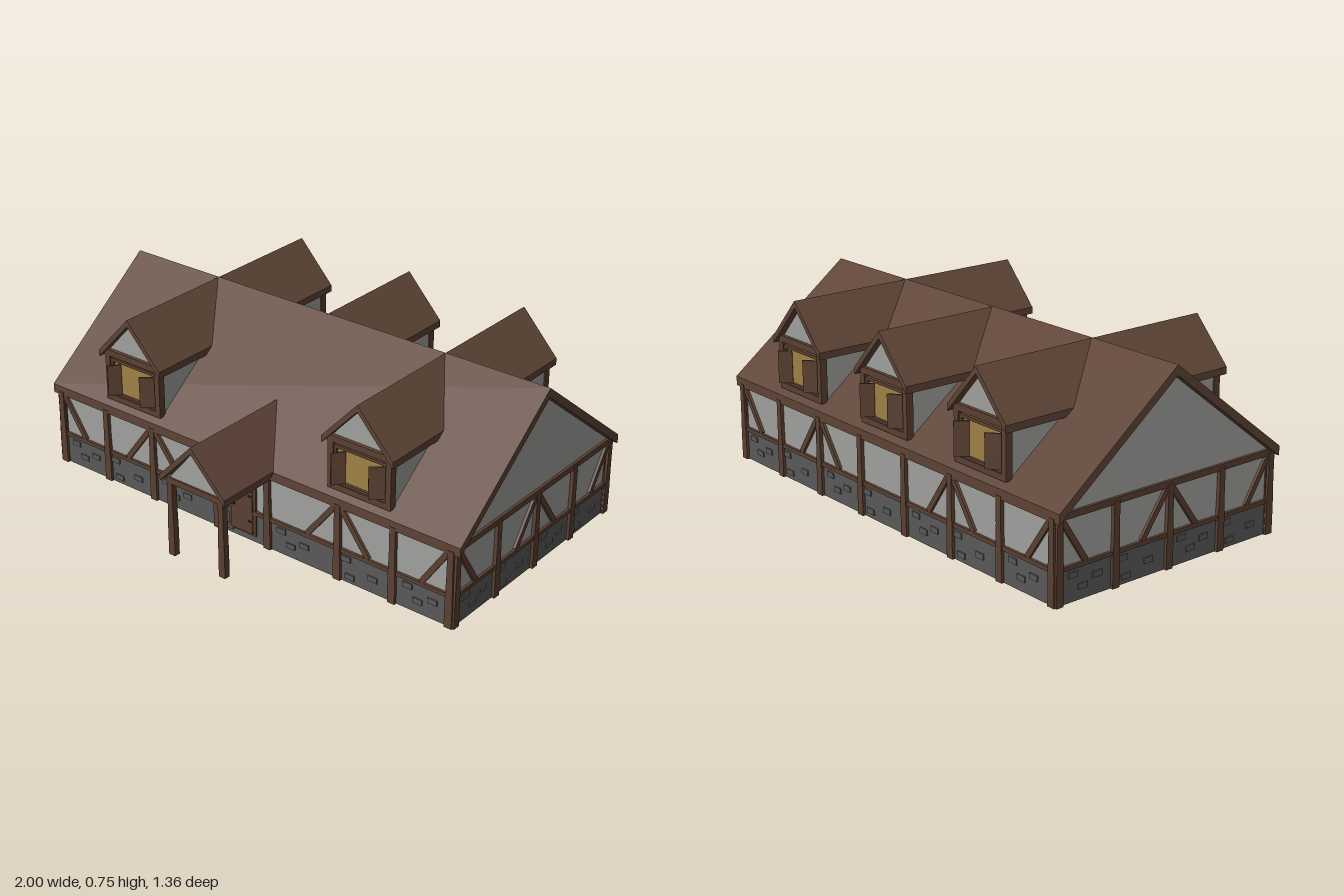
import * as THREE from 'three';

const mat = (name, color) => Object.assign(new THREE.MeshStandardMaterial({ color }), { name });

// Main roof profile, measured from the ridge line
const RIDGE = 0.755, EAVE = 0.345, HALF = 0.53, SLOPE = (RIDGE - EAVE) / HALF;
const RIDGE_Z = -0.13;

export function createModel() {
  const M = {
    timber: mat('brown timber', 0x5a4031),
    roof: mat('brown roof', 0x5e4436),
    plaster: mat('pale plaster', 0xa0a19e),
    stone: mat('grey stone', 0x595959),
    glass: mat('amber window', 0xa08146),
    iron: mat('dark iron', 0x2f2723),
  };

  const add = (parent, name, geo, material, x = 0, y = 0, z = 0) => {
    const m = new THREE.Mesh(geo, material);
    m.name = name;
    m.position.set(x, y, z);
    parent.add(m);
    return m;
  };
  const box = (parent, name, material, w, h, d, x, y, z) =>
    add(parent, name, new THREE.BoxGeometry(w, h, d), material, x, y, z);
  const group = (parent, name) => {
    const g = new THREE.Group();
    g.name = name;
    parent.add(g);
    return g;
  };
  const polygon = (points, depth) => new THREE.ExtrudeGeometry(
    new THREE.Shape(points.map(p => new THREE.Vector2(...p))), { depth, bevelEnabled: false });

  // Post that widens towards its foot
  const post = (parent, name, x, z, h, w = 0.026, d = 0.04) => {
    const g = new THREE.BoxGeometry(w, h, d, 1, 3, 1);
    const p = g.attributes.position;
    for (let i = 0; i < p.count; i++) if (p.getY(i) < -h * 0.1) p.setX(i, p.getX(i) * 1.25);
    g.computeVertexNormals();
    return add(parent, name, g, M.timber, x, h / 2, z);
  };

  // Sloping timber between two points on a wall face
  const brace = (parent, x1, x2) => {
    const y1 = 0.305, y2 = 0.14, dx = x2 - x1, dy = y2 - y1;
    const b = box(parent, 'brace', M.timber, 0.022, Math.hypot(dx, dy), 0.012, (x1 + x2) / 2, (y1 + y2) / 2, 0.014);
    b.rotation.z = Math.atan2(-dx, dy);
  };

  // Gabled roof slab; a back edge can be cut to follow the main roof
  const gableRoof = (hw, ridge, eave, t, front, back) => {
    const g = polygon([[-hw, eave - t], [0, ridge - t], [hw, eave - t], [hw, eave], [0, ridge], [-hw, eave]], 1);
    const p = g.attributes.position;
    for (let i = 0; i < p.count; i++) p.setZ(i, p.getZ(i) > 0.5 ? front : back(p.getY(i)));
    g.computeVertexNormals();
    return g;
  };
  const onMainRoof = y => (RIDGE - y) / SLOPE - 0.01;

  // Half-timbered wall facing +z, with its face at z = 0.01
  const wall = (name, length, posts, braces) => {
    const g = group(house, name);
    box(g, 'stoneBase', M.stone, length, 0.13, 0.024, 0, 0.065, 0);
    box(g, 'plasterPanel', M.plaster, length, 0.2, 0.018, 0, 0.23, 0);
    box(g, 'lowerRail', M.timber, length, 0.016, 0.036, 0, 0.131, 0.002);
    box(g, 'upperRail', M.timber, length, 0.024, 0.036, 0, 0.32, 0.002);
    posts.forEach(x => post(g, 'post', x, 0.004, 0.32));
    braces.forEach(([a, b]) => brace(g, a, b));
    // A few raised stones in each bay
    const odd = [[0.065, 0.1], [0.11, 0.05], [0.175, 0.075]], even = [[0.038, 0.1], [0.055, 0.028], [0.16, 0.06]];
    posts.slice(0, -1).forEach((x, i) => (i % 2 ? even : odd).forEach(([u, y]) =>
      box(g, 'raisedStone', M.stone, 0.042, 0.022, 0.008, x + u, y, 0.013)));
    return g;
  };

  const model = new THREE.Group();
  model.name = 'timberHouse';
  const house = group(model, 'house');
  house.position.z = RIDGE_Z;

  // Four walls
  const frontBraces = [[-0.945, -0.835], [-0.475, -0.6], [-0.445, -0.315]];
  const mirrored = list => list.concat(list.map(([a, b]) => [-a, -b]));
  wall('frontWall', 1.92, [-0.96, -0.71, -0.46, -0.125, 0.125, 0.46, 0.71, 0.96], mirrored(frontBraces))
    .position.z = 0.508;
  const bays = Array.from({ length: 8 }, (_, i) => -0.96 + i * 1.92 / 7);
  const back = wall('backWall', 1.92, bays, mirrored([
    [bays[0] + 0.015, bays[0] + 0.13], [bays[2] - 0.015, bays[2] - 0.13], [bays[2] + 0.015, bays[2] + 0.13]]));
  back.position.z = -0.508;
  back.rotation.y = Math.PI;
  for (const s of [1, -1]) {
    const side = wall(s > 0 ? 'leftWall' : 'rightWall', 1.02, [-0.51, -0.255, 0, 0.255, 0.51],
      mirrored([[-0.495, -0.39], [-0.012, -0.13]]));
    side.position.x = s * 0.96;
    side.rotation.y = s * Math.PI / 2;
    add(side, 'gablePanel', polygon([[-0.51, 0.325], [0.51, 0.325], [0, 0.722]], 0.018), M.plaster, 0, 0, -0.009);
  }

  // Main roof, running along x
  const mainRoof = add(house, 'mainRoof', gableRoof(HALF, RIDGE, EAVE, 0.038, 1, () => -1), M.roof);
  mainRoof.rotation.y = Math.PI / 2;

  // Dormer with window and open shutters, facing +z
  const dormer = (x, facing) => {
    const g = group(house, 'dormer');
    g.position.x = x;
    g.rotation.y = facing > 0 ? 0 : Math.PI;
    add(g, 'dormerRoof', gableRoof(0.16, RIDGE - 0.002, 0.58, 0.028, 0.53, onMainRoof), M.roof);
    box(g, 'dormerFront', M.plaster, 0.27, 0.21, 0.012, 0, 0.475, 0.487);
    add(g, 'dormerGable', polygon([[-0.132, 0.58], [0.132, 0.58], [0, 0.73]], 0.012), M.plaster, 0, 0, 0.488);
    box(g, 'crossBeam', M.timber, 0.29, 0.026, 0.03, 0, 0.573, 0.5);
    box(g, 'sillBeam', M.timber, 0.28, 0.024, 0.03, 0, 0.381, 0.5);
    for (const s of [-1, 1]) {
      box(g, 'dormerPost', M.timber, 0.024, 0.2, 0.03, s * 0.13, 0.47, 0.5);
      box(g, 'dormerCheek', M.plaster, 0.01, 0.215, 0.25, s * 0.132, 0.4675, 0.365);
      box(g, 'windowJamb', M.timber, 0.012, 0.158, 0.024, s * 0.113, 0.47, 0.497);
      box(g, 'windowRail', M.timber, 0.23, 0.012, 0.024, 0, 0.47 + s * 0.074, 0.497);
    }
    box(g, 'windowPane', M.glass, 0.222, 0.142, 0.006, 0, 0.47, 0.495);
    // Shutters given by their inner and outer edges in plan
    for (const [x1, z1, x2, z2] of [[-0.068, 0.505, -0.1, 0.55], [0.065, 0.545, 0.112, 0.505]]) {
      const sh = box(g, 'shutter', M.timber, Math.hypot(x2 - x1, z2 - z1), 0.13, 0.008,
        (x1 + x2) / 2, 0.47, (z1 + z2) / 2);
      sh.rotation.y = -Math.atan2(z2 - z1, x2 - x1);
    }
  };
  [-0.565, 0.545].forEach(x => dormer(x, 1));
  [-0.565, -0.005, 0.545].forEach(x => dormer(x, -1));

  // Porch
  const porch = group(house, 'porch');
  add(porch, 'porchRoof', gableRoof(0.158, 0.512, 0.347, 0.028, 0.803, onMainRoof), M.roof);
  add(porch, 'porchGable', polygon([[-0.128, 0.335], [0.128, 0.335], [0, 0.487]], 0.012), M.plaster, 0, 0, 0.77);
  box(porch, 'porchBeam', M.timber, 0.28, 0.025, 0.028, 0, 0.325, 0.775);
  for (const s of [-1, 1]) {
    post(porch, 'porchPost', s * 0.125, 0.775, 0.32, 0.024, 0.026);
    box(porch, 'porchSideBeam', M.timber, 0.022, 0.024, 0.26, s * 0.125, 0.325, 0.64);
  }

  // Arched door
  const arch = (w, top, bottom, depth) => {
    const s = new THREE.Shape();
    s.moveTo(-w, bottom);
    s.lineTo(w, bottom);
    s.lineTo(w, top - w * 0.75);
    s.absellipse(0, top - w * 0.75, w, w * 0.75, 0, Math.PI, false);
    s.closePath();
    return new THREE.ExtrudeGeometry(s, { depth, bevelEnabled: false, curveSegments: 10 });
  };
  const door = group(house, 'door');
  add(door, 'doorFrame', arch(0.068, 0.275, 0.028, 0.036), M.timber, 0, 0, 0.49);
  add(door, 'doorLeaf', arch(0.054, 0.255, 0.036, 0.042), M.timber, 0, 0, 0.488);
  box(door, 'doorHandle', M.iron, 0.007, 0.02, 0.008, -0.035, 0.15, 0.533);
  for (const y of [0.09, 0.2]) box(door, 'doorHinge', M.iron, 0.014, 0.006, 0.006, 0.042, y, 0.531);

  return model;
}
